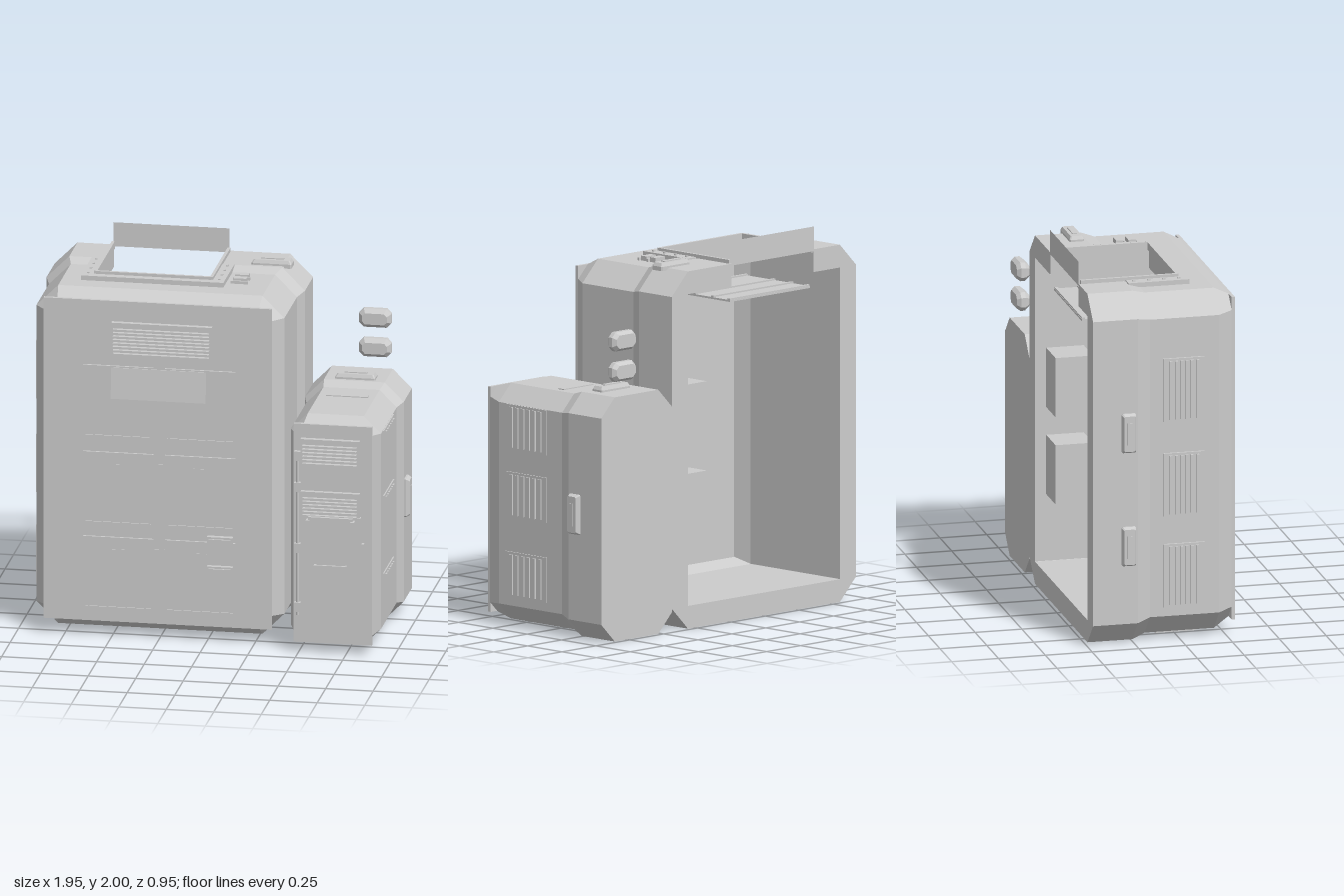
import * as THREE from 'three';

const grey = new THREE.MeshStandardMaterial({ color: 0xcccccc, flatShading: true, side: THREE.DoubleSide });
grey.name = 'cabinet grey';

const HX0 = -0.63, HX1 = -0.02, HZ = 0.05; // roof hatch limits

function add(parent, geo, name) {
  const m = new THREE.Mesh(geo, grey);
  m.name = name;
  parent.add(m);
  return m;
}

// box given by its limits
function box(parent, name, x0, x1, y0, y1, z0, z1) {
  const m = add(parent, new THREE.BoxGeometry(x1 - x0, y1 - y0, z1 - z0), name);
  m.position.set((x0 + x1) / 2, (y0 + y1) / 2, (z0 + z1) / 2);
  return m;
}

// rectangle with cut corners, optionally with the hatch points on its top edge
function ring([z, x0, x1, y0, y1, c], hatch) {
  const p = [[x0 + c, y0], [x1 - c, y0], [x1, y0 + c], [x1, y1 - c], [x1 - c, y1]];
  if (hatch) p.push([HX1, y1], [HX0, y1]);
  p.push([x0 + c, y1], [x0, y1 - c], [x0, y0 + c]);
  return p.map(([x, y]) => new THREE.Vector3(x, y, z));
}

// skin over rings ordered from back to front
function loft(sections, { hatch = false, back = true, front = true, inward = false } = {}) {
  const rings = sections.map(s => ring(s, hatch)), n = rings[0].length, pos = [];
  const tri = (a, b, c) => (inward ? [a, c, b] : [a, b, c]).forEach(v => pos.push(v.x, v.y, v.z));
  for (let k = 0; k + 1 < rings.length; k++) {
    const a = rings[k], b = rings[k + 1];
    for (let i = 0; i < n; i++) {
      if (hatch && i === 5 && b[0].z <= HZ + 1e-6) continue;
      const j = (i + 1) % n;
      tri(a[i], a[j], b[j]);
      tri(a[i], b[j], b[i]);
    }
  }
  const f = rings[0], l = rings[rings.length - 1];
  for (let i = 1; i + 1 < n; i++) {
    if (back) tri(f[0], f[i + 1], f[i]);
    if (front) tri(l[0], l[i], l[i + 1]);
  }
  const g = new THREE.BufferGeometry();
  g.setAttribute('position', new THREE.Float32BufferAttribute(pos, 3));
  g.computeVertexNormals();
  return g;
}

// louvred vent facing +z, centred on its own origin
function vent(parent, name, w, h, d, n, vertical) {
  const g = new THREE.Group();
  g.name = name;
  box(g, 'ventPlate', -w / 2, w / 2, -h / 2, h / 2, 0, d * 0.55);
  const m = 0.025;
  for (let i = 0; i < n; i++) {
    const t = (i + 0.5) / n - 0.5, long = vertical ? w : h, s = t * (long - 2 * m), r = (long - 2 * m) / n * 0.27;
    if (vertical) box(g, 'slat', s - r, s + r, -h / 2 + m / 2, h / 2 - m / 2, d * 0.5, d);
    else box(g, 'slat', -w / 2 + m / 2, w / 2 - m / 2, s - r, s + r, d * 0.5, d);
  }
  parent.add(g);
  return g;
}

// bevelled grip facing +z, long along x
function grip(parent, name) {
  const g = new THREE.Group();
  g.name = name;
  add(g, loft([[-0.01, -0.105, 0.105, -0.038, 0.038, 0.006], [0.012, -0.105, 0.105, -0.038, 0.038, 0.006],
    [0.03, -0.095, 0.095, -0.03, 0.03, 0.006]]), 'gripBase');
  box(g, 'gripBar', -0.06, 0.06, -0.012, 0.012, 0.028, 0.035);
  parent.add(g);
  return g;
}

// raised rectangular rim
function rim(parent, name, x0, x1, y0, y1, z0, z1, t) {
  const s = new THREE.Shape([[x0, y0], [x1, y0], [x1, y1], [x0, y1]].map(p => new THREE.Vector2(...p)));
  s.holes.push(new THREE.Path([[x0 + t, y0 + t], [x0 + t, y1 - t], [x1 - t, y1 - t], [x1 - t, y0 + t]].map(p => new THREE.Vector2(...p))));
  const m = add(parent, new THREE.ExtrudeGeometry(s, { depth: z1 - z0, bevelEnabled: false }), name);
  m.position.z = z0;
  return m;
}

function mainCabinet() {
  const g = new THREE.Group();
  g.name = 'mainCabinet';
  const back = [-0.48, -0.94, 0.42, 0, 1.88, 0.12], mid = [-0.17, -0.915, 0.39, 0.025, 1.86, 0.115];
  const at = (s, z) => [z, ...s.slice(1)];
  add(g, loft([back, at(back, -0.24), mid, at(mid, HZ), at(mid, 0.2), [0.28, -0.86, 0.34, 0.08, 1.82, 0.07]],
    { hatch: true, back: false }), 'outerShell');
  const inner = [-0.48, -0.82, 0.3, 0.12, 1.76, 0.001];
  add(g, loft([inner, at(inner, HZ), at(inner, 0.17), [0.26, -0.79, 0.27, 0.15, 1.73, 0.001]],
    { hatch: true, back: false, inward: true }), 'innerShell');

  // back rim, raised into a flap behind the hatch
  const v = p => p.map(q => new THREE.Vector2(...q));
  const edge = new THREE.Shape(v([[-0.82, 0], [0.3, 0], [0.42, 0.12], [0.42, 1.76], [0.3, 1.88],
    [HX1, 1.88], [HX1, 2], [HX0, 2], [HX0, 1.88], [-0.82, 1.88], [-0.94, 1.76], [-0.94, 0.12]]));
  edge.holes.push(new THREE.Path(v([[-0.82, 0.12], [-0.82, 1.76], [HX0, 1.76], [HX0, 1.87], [HX1, 1.87],
    [HX1, 1.76], [0.3, 1.76], [0.3, 0.12]])));
  const e = add(g, new THREE.ShapeGeometry(edge).rotateY(Math.PI).scale(-1, 1, 1), 'backRim');
  e.geometry.computeVertexNormals();
  e.position.z = -0.48;

  // hatch well, raised surround and bolts
  for (const [x, s] of [[HX0, -1], [HX1, 1]]) {
    box(g, 'wellSide', x - 0.003, x + 0.003, 1.76, 1.87, -0.478, HZ);
    const o = x + s * 0.07;
    box(g, 'hatchRail', Math.min(x, o), Math.max(x, o), 1.85, 1.885, -0.23, 0.095);
    box(g, 'hatchLip', x - 0.008, x + 0.008, 1.86, 1.9, -0.47, HZ);
    for (let i = 0; i < 4; i++) box(g, 'bolt', x + s * 0.04 - 0.006, x + s * 0.04 + 0.006, 1.88, 1.892, -0.2 + i * 0.08, -0.188 + i * 0.08);
  }
  box(g, 'wellFront', HX0, HX1, 1.76, 1.87, HZ - 0.003, HZ + 0.003);
  box(g, 'hatchRail', HX0, HX1, 1.85, 1.885, HZ, 0.095);
  box(g, 'hatchLip', HX0, HX1, 1.86, 1.9, HZ - 0.012, HZ + 0.004);

  // tread plate below the hatch
  box(g, 'treadPlate', HX0 + 0.01, HX1 - 0.01, 1.675, 1.685, -0.46, 0.02);
  for (const z of [-0.45, -0.33, -0.2, 0]) box(g, 'treadRib', HX0 + 0.01, HX1 - 0.01, 1.685, 1.693, z - 0.008, z + 0.008);

  // inner boxes
  for (const y of [0.48, 0.95]) box(g, 'innerBox', 0.1, 0.3, y, y + 0.32, -0.42, -0.22);

  // front panel with six doors
  box(g, 'frontPanel', -0.86, 0.34, 0.08, 1.82, 0.28, 0.298);
  for (const y of [0.15, 0.61, 1.08]) {
    for (const x of [-0.65, -0.22]) {
      box(g, 'door', x, x + 0.37, y, y + 0.39, 0.296, 0.303);
      rim(g, 'doorRim', x, x + 0.37, y, y + 0.39, 0.3, 0.31, 0.012);
      if (y < 1) box(g, 'doorSlot', x + 0.15, x + 0.22, y + 0.318, y + 0.324, 0.302, 0.306);
    }
    if (y < 1) box(g, 'doorLink', -0.28, -0.22, y + 0.28, y + 0.335, 0.297, 0.302);
  }
  vent(g, 'frontVent', 0.53, 0.2, 0.05, 8).position.set(-0.235, 1.61, 0.298);
  const sign = box(g, 'frontPlate', -0.5, 0, 1.3, 1.465, 0.322, 0.33);
  sign.rotation.x = -0.1;
  for (const y of [0.48, 0.32]) {
    box(g, 'lockBox', 0.02, 0.135, y + 0.01, y + 0.095, 0.3, 0.37);
    box(g, 'lockCover', 0.01, 0.145, y, y + 0.105, 0.335, 0.36);
  }

  // side vents and grips
  for (const y of [0.36, 0.85, 1.36]) {
    const s = vent(g, 'sideVent', 0.22, 0.34, 0.025, 6, true);
    s.rotation.y = -Math.PI / 2;
    s.position.set(-0.913, y, 0.01);
  }
  for (const y of [0.54, 1.15]) {
    const s = grip(g, 'sideGrip');
    s.rotation.set(0, -Math.PI / 2, Math.PI / 2, 'YXZ');
    s.position.set(-0.938, y, -0.29);
  }

  // roof grip, latches and underside plates
  const r = grip(g, 'roofGrip');
  r.rotation.x = -Math.PI / 2;
  r.position.set(0.24, 1.878, -0.297);
  for (const z of [-0.08, -0.015]) {
    box(g, 'roofLatch', 0.085, 0.155, 1.86, 1.885, z - 0.02, z + 0.02);
    box(g, 'latchBar', 0.075, 0.165, 1.86, 1.875, z + 0.025, z + 0.035);
  }
  for (const x of [-0.65, -0.26, 0.13]) box(g, 'undersidePlate', x - 0.14, x + 0.14, 0.016, 0.026, -0.11, 0.11);
  return g;
}

function sideCabinet() {
  const g = new THREE.Group();
  g.name = 'sideCabinet';
  add(g, loft([[-0.48, 0.42, 0.94, 0, 1.285, 0.1], [-0.24, 0.42, 0.94, 0, 1.285, 0.1], [-0.17, 0.44, 0.915, 0.025, 1.265, 0.09],
    [0.29, 0.44, 0.915, 0.025, 1.265, 0.09], [0.385, 0.475, 0.885, 0.055, 1.24, 0.05]]), 'sideShell');
  box(g, 'sideFrontPanel', 0.475, 0.885, 0.055, 1.24, 0.38, 0.4);

  // front vents and framed window
  vent(g, 'upperVent', 0.31, 0.165, 0.05, 6).position.set(0.67, 1.083, 0.4);
  vent(g, 'lowerVent', 0.31, 0.16, 0.045, 6).position.set(0.67, 0.8, 0.4);
  box(g, 'windowBase', 0.525, 0.83, 0.44, 0.75, 0.4, 0.435);
  rim(g, 'windowRim', 0.56, 0.795, 0.465, 0.755, 0.43, 0.462, 0.03);
  box(g, 'windowPane', 0.6, 0.755, 0.49, 0.73, 0.43, 0.45);
  for (const x of [0.56, 0.795]) box(g, 'windowGuide', x - 0.01, x + 0.01, 0.48, 0.74, 0.43, 0.475);

  // door bar and hinge rod
  box(g, 'doorBar', 0.835, 0.847, 0.35, 0.61, 0.4, 0.425);
  const rod = add(g, new THREE.CylinderGeometry(0.008, 0.008, 0.87, 8), 'hingeRod');
  rod.position.set(0.497, 0.64, 0.41);
  for (const y of [0.25, 0.57, 0.9, 1.07]) box(g, 'hinge', 0.48, 0.514, y - 0.025, y + 0.025, 0.4, 0.425);

  // outer side vents and grips
  for (const y of [0.28, 0.7, 1.055]) {
    const s = vent(g, 'outerVent', 0.3, 0.238, 0.018, 6, true);
    s.rotation.y = Math.PI / 2;
    s.position.set(0.912, y, 0.088);
  }
  const s = grip(g, 'outerGrip');
  s.rotation.set(0, Math.PI / 2, Math.PI / 2, 'YXZ');
  s.position.set(0.938, 0.66, -0.29);
  const t = grip(g, 'topGrip');
  t.rotation.x = -Math.PI / 2;
  t.position.set(0.68, 1.283, -0.297);
  box(g, 'topPlate', 0.57, 0.79, 1.262, 1.27, -0.06, -0.02);
  return g;
}

export function createModel() {
  const model = new THREE.Group();
  model.name = 'cabinetUnit';
  model.add(mainCabinet(), sideCabinet());
  // separate bevelled pods above the side cabinet
  for (const y of [1.57, 1.41])
    add(model, loft([[-0.48, 0.685, 0.825, y - 0.035, y + 0.035, 0.02], [-0.46, 0.67, 0.84, y - 0.05, y + 0.05, 0.025],
      [-0.435, 0.67, 0.84, y - 0.05, y + 0.05, 0.025], [-0.41, 0.69, 0.82, y - 0.03, y + 0.03, 0.015]]), 'pod');
  return model;
}
